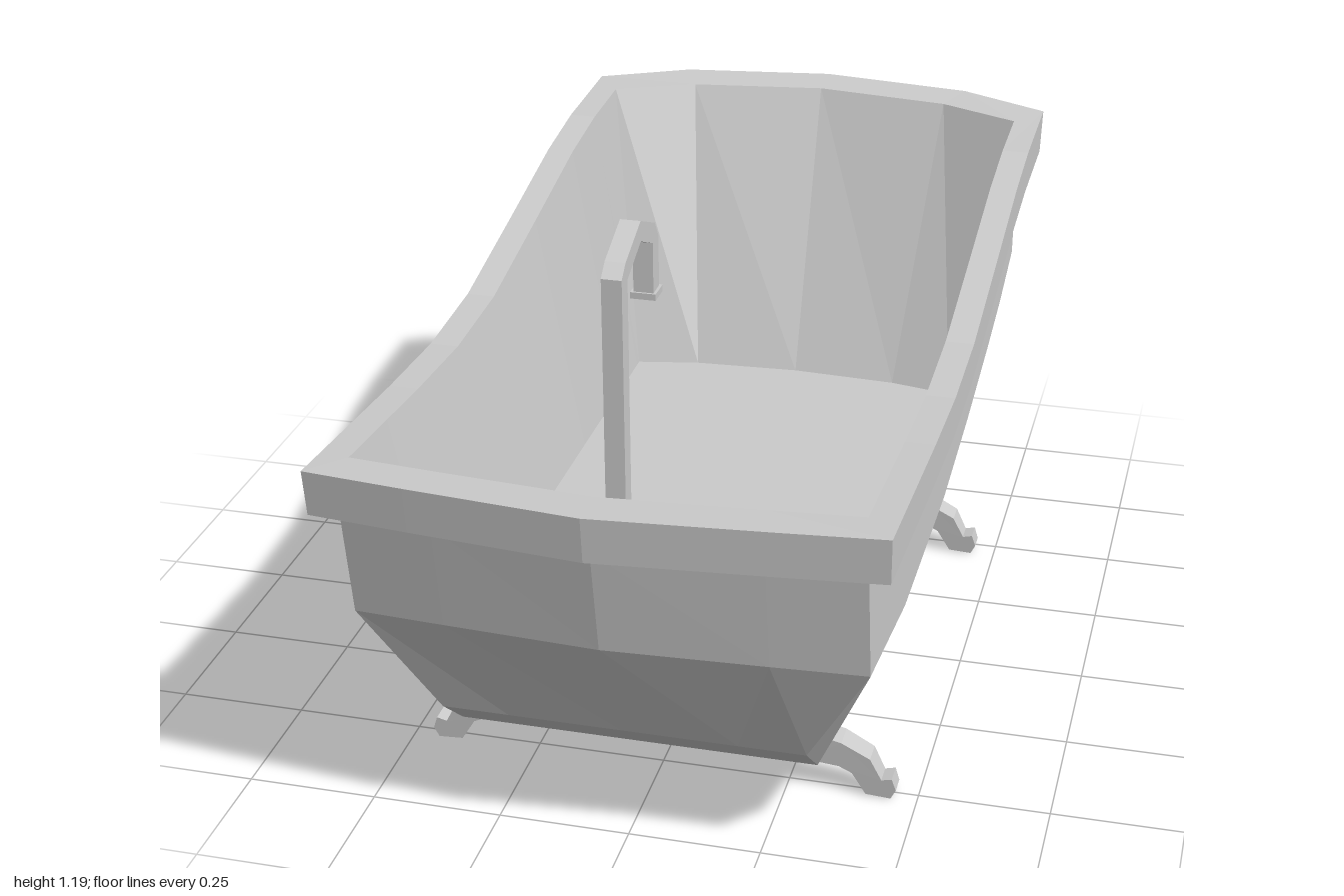
import * as THREE from 'three';

const material = new THREE.MeshStandardMaterial({ color: 0xcccccc, flatShading: true });
const STATIONS = [0.68, 0.52, 0.3, 0.08, -0.2, -0.47, -0.64];

// Height as a piecewise linear function of z (points run from front to back)
const heightCurve = (pts) => (z) => {
  if (z >= pts[0][0]) return pts[0][1];
  for (let i = 1; i < pts.length; i++) {
    const [z0, y0] = pts[i - 1], [z1, y1] = pts[i];
    if (z >= z1) return y0 + (y1 - y0) * (z - z0) / (z1 - z0);
  }
  return pts[pts.length - 1][1];
};

// Closed outline: half width, front corner/centre z, back corner/centre z, height rule
function ring(w, fc, fm, bc, bm, height) {
  const half = [[0, fm], [w * 0.63, fc + (fm - fc) * 0.4], [w, fc]];
  for (const z of STATIONS) half.push([w, Math.min(fc - 0.02, Math.max(bc + 0.02, z))]);
  half.push([w, bc], [w * 0.63, bc + (bm - bc) * 0.68], [0, bm]);
  const mirrored = half.slice(1, -1).reverse().map(([x, z]) => [-x, z]);
  return [...half, ...mirrored].map(([x, z]) => [x, height(z), z]);
}

// Skin successive rings, optionally closing the first (facing up) or last (facing down)
function loft(name, rings, capFirst = false, capLast = false) {
  const pos = [];
  const quad = (a, b, c, d) => pos.push(...a, ...b, ...c, ...a, ...c, ...d);
  const n = rings[0].length;
  for (let r = 0; r < rings.length - 1; r++) {
    const a = rings[r], b = rings[r + 1];
    for (let i = 0; i < n; i++) {
      const j = (i + 1) % n;
      quad(a[i], b[i], b[j], a[j]);
    }
  }
  const cap = (p, up) => {
    for (let i = 0; i < n / 2; i++) {
      const q = [p[i], p[i + 1], p[n - i - 1], p[(n - i) % n]];
      quad(...(up ? q : q.reverse()));
    }
  };
  if (capFirst) cap(rings[0], true);
  if (capLast) cap(rings[rings.length - 1], false);
  const geo = new THREE.BufferGeometry();
  geo.setAttribute('position', new THREE.Float32BufferAttribute(pos, 3));
  geo.computeVertexNormals();
  return named(name, geo);
}

function named(name, geo) {
  const mesh = new THREE.Mesh(geo, material);
  mesh.name = name;
  return mesh;
}

// Extrude a polygon, centred on its thickness
function slab(points, depth) {
  const shape = new THREE.Shape(points.map(([x, y]) => new THREE.Vector2(x, y)));
  return new THREE.ExtrudeGeometry(shape, { depth, bevelEnabled: false }).translate(0, 0, -depth / 2);
}

export function createModel() {
  const group = new THREE.Group();

  // Height rules for the rim, the belly crease and the bottom edge
  const rimY = heightCurve([[1, 0.793], [0.945, 0.79], [0.52, 0.755], [0.3, 0.743], [0.08, 0.755],
    [-0.2, 0.81], [-0.47, 0.865], [-0.67, 0.89], [-0.885, 0.896], [-1, 0.905]]);
  const underRimY = (z) => rimY(z) - 0.088;
  const bellyY = heightCurve([[0.91, 0.49], [0.86, 0.475], [0.52, 0.422], [0.08, 0.422],
    [-0.2, 0.455], [-0.47, 0.5], [-0.64, 0.535], [-0.81, 0.585], [-0.885, 0.6]]);
  const bottomY = heightCurve([[0.78, 0.245], [0.68, 0.16], [0.52, 0.12],
    [-0.47, 0.12], [-0.5, 0.125], [-0.64, 0.18], [-0.76, 0.3]]);

  // Tub outlines
  const floor = ring(0.36, 0.735, 0.75, -0.635, -0.675, () => 0.3);
  const opening = ring(0.455, 0.865, 0.91, -0.81, -0.915, rimY);
  const rimTop = ring(0.51, 0.945, 1.0, -0.885, -1.0, rimY);
  const rimBottom = ring(0.508, 0.935, 0.99, -0.87, -0.98, underRimY);
  const bodyTop = ring(0.465, 0.9, 0.95, -0.83, -0.93, underRimY);
  const belly = ring(0.465, 0.86, 0.91, -0.81, -0.885, bellyY);
  const bottom = ring(0.34, 0.78, 0.78, -0.76, -0.76, bottomY);

  group.add(
    loft('basin', [floor, opening], true),
    loft('rim', [opening, rimTop, rimBottom, bodyTop]),
    loft('shell', [bodyTop, belly, bottom], false, true),
  );

  // Faucet: bent square pipe drawn in z and y, with a collar at the spout
  const faucet = new THREE.Group();
  faucet.name = 'faucet';
  const pipe = slab([[0.79, 0.36], [0.79, 1.13], [0.765, 1.152], [0.67, 1.19], [0.58, 1.152], [0.558, 1.12],
    [0.558, 1.015], [0.595, 1.015], [0.595, 1.12], [0.67, 1.153], [0.755, 1.118], [0.755, 0.36]], 0.036);
  pipe.rotateY(-Math.PI / 2);
  const collar = new THREE.BoxGeometry(0.046, 0.012, 0.046).translate(0, 1.02, 0.576);
  faucet.add(named('pipe', pipe), named('spoutCollar', collar));
  group.add(faucet);

  // Four splayed feet, narrowing towards the ground
  const footProfile = [[0.265, 0.125], [0.265, 0.085], [0.285, 0.066], [0.35, 0.06], [0.375, 0.048],
    [0.402, 0.003], [0.45, 0], [0.46, 0.02], [0.452, 0.045], [0.432, 0.04], [0.41, 0.085],
    [0.355, 0.114], [0.31, 0.125]];
  const footGeo = slab(footProfile, 0.052);
  const p = footGeo.attributes.position;
  for (let i = 0; i < p.count; i++) p.setZ(i, p.getZ(i) * (0.68 + 0.32 * Math.min(1, p.getY(i) / 0.11)));
  footGeo.computeVertexNormals();
  for (const [end, z] of [['front', 0.505], ['back', -0.475]]) {
    for (const side of [1, -1]) {
      const foot = named(end + (side > 0 ? 'LeftFoot' : 'RightFoot'), footGeo);
      foot.rotation.y = side > 0 ? 0 : Math.PI;
      foot.position.z = z;
      group.add(foot);
    }
  }
  return group;
}
